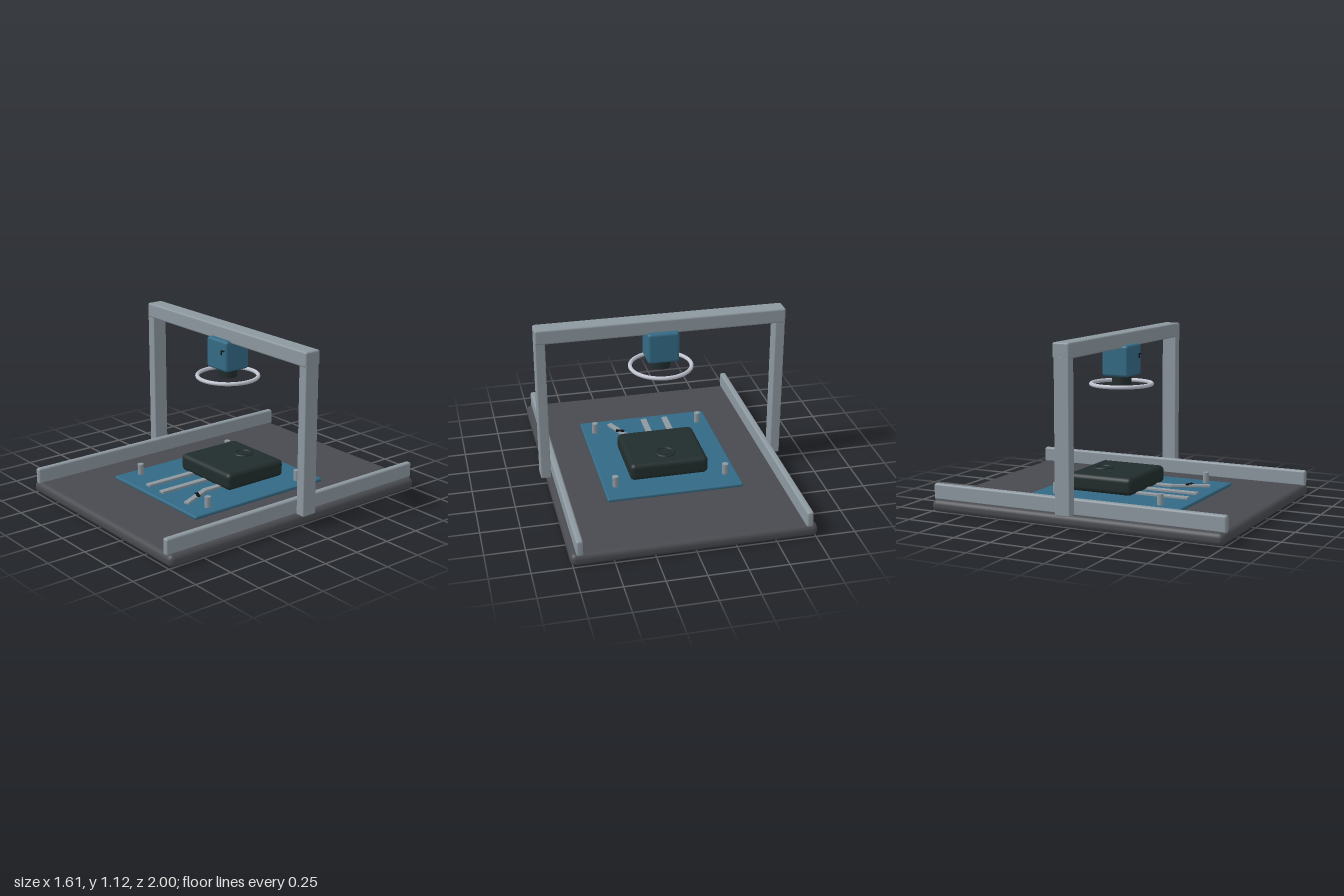
import * as THREE from 'three';
import { RoundedBoxGeometry } from 'three/addons/geometries/RoundedBoxGeometry.js';

const mat = (name, color) => {
  const m = new THREE.MeshStandardMaterial({ color });
  m.name = name;
  return m;
};

export function createModel() {
  const model = new THREE.Group();
  const charcoal = mat('charcoal', 0x484a4f);
  const steel = mat('steel grey', 0x8c979f);
  const blue = mat('board blue', 0x336a85);
  const black = mat('green black', 0x212c2c);
  const silver = mat('pale silver', 0xbfc3cf);
  const ink = mat('black', 0x101214);

  const add = (name, geometry, material, x, y, z) => {
    const mesh = new THREE.Mesh(geometry, material);
    mesh.name = name;
    mesh.position.set(x, y, z);
    model.add(mesh);
    return mesh;
  };
  // Rounded box given by its extents on each axis
  const block = (name, material, [x0, x1], [y0, y1], [z0, z1], r) =>
    add(name, new RoundedBoxGeometry(x1 - x0, y1 - y0, z1 - z0, 4, r), material,
      (x0 + x1) / 2, (y0 + y1) / 2, (z0 + z1) / 2);

  // Base tray and side rails
  block('base', charcoal, [-0.765, 0.765], [0, 0.08], [-1, 1], 0.035);
  for (const s of [-1, 1]) {
    const side = s > 0 ? 'left' : 'right';
    block(side + 'Rail', steel, [s * 0.708 - 0.021, s * 0.708 + 0.021], [0.07, 0.177], [-1, 1], 0.014);
    block(side + 'Post', steel, [s * 0.773 - 0.032, s * 0.773 + 0.032], [0.08, 1.04], [-0.075, 0.027], 0.007);
  }

  // Gantry beam
  block('beam', steel, [-0.805, 0.805], [1.028, 1.125], [-0.083, 0.03], 0.012);

  // Inspection camera, lens and ring light
  block('cameraBody', blue, [-0.102, 0.102], [0.842, 1.045], [-0.118, 0.068], 0.018);
  add('lens', new THREE.CylinderGeometry(0.062, 0.062, 0.07, 32), black, 0, 0.82, -0.025);
  const ring = add('ringLight', new THREE.TorusGeometry(0.197, 0.013, 12, 64), silver, 0, 0.788, -0.026);
  ring.rotation.x = Math.PI / 2;

  // Small corner mark on the camera front
  add('markTop', new THREE.BoxGeometry(0.03, 0.006, 0.009), ink, 0.07, 0.981, 0.071);
  add('markSide', new THREE.BoxGeometry(0.006, 0.03, 0.009), ink, 0.058, 0.968, 0.071);

  // Circuit board with four standoffs
  block('board', blue, [-0.44, 0.44], [0.082, 0.106], [-0.467, 0.575], 0.01);
  for (const x of [-0.362, 0.362])
    for (const z of [-0.312, 0.42])
      add('standoff', new THREE.CylinderGeometry(0.02, 0.02, 0.075, 16), steel, x, 0.139, z);

  // Chip package with its round mark
  block('chipPackage', black, [-0.257, 0.257], [0.108, 0.223], [-0.292, 0.17], 0.032);
  const dimple = add('chipRing', new THREE.TorusGeometry(0.057, 0.01, 10, 40), black, 0, 0.222, -0.158);
  dimple.rotation.x = Math.PI / 2;
  add('chipDisc', new THREE.CylinderGeometry(0.036, 0.036, 0.008, 32), black, 0, 0.223, -0.158);

  // Straight leads
  for (const x of [-0.148, 0])
    block('lead', steel, [x - 0.02, x + 0.02], [0.104, 0.122], [0.1, 0.515], 0.004);

  // Bent lead with a dark crack across it
  block('bentLeadRoot', steel, [0.126, 0.166], [0.104, 0.122], [0.1, 0.275], 0.004);
  const bend = Math.atan2(0.1, 0.222);
  const tip = add('bentLeadTip', new RoundedBoxGeometry(0.036, 0.018, 0.255, 4, 0.004), steel, 0.195, 0.114, 0.383);
  tip.rotation.y = bend;
  const crack = add('leadCrack', new THREE.BoxGeometry(0.056, 0.009, 0.022), ink, 0.195, 0.1235, 0.373);
  crack.rotation.y = -0.4;

  return model;
}
